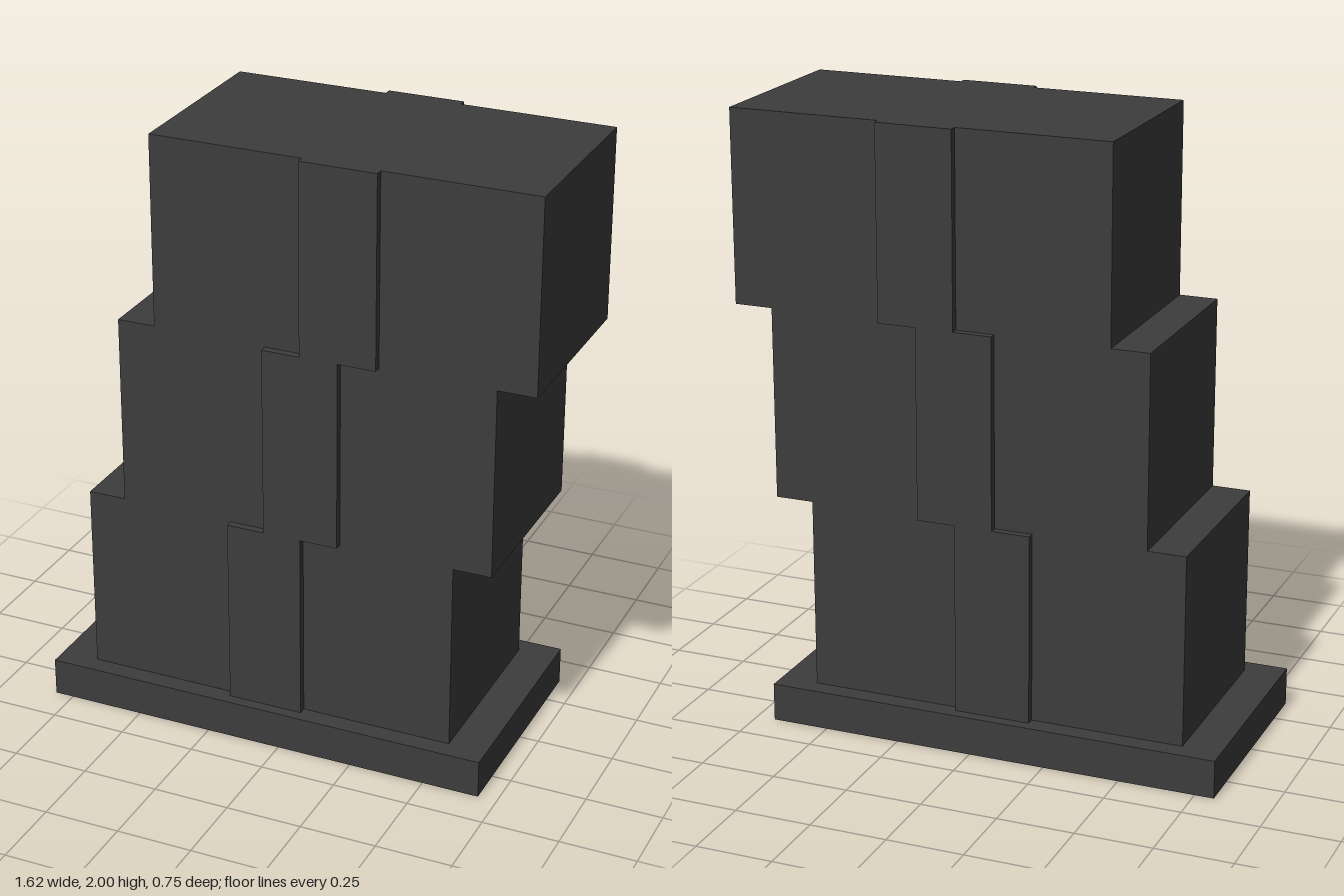
import * as THREE from 'three';

export function createModel() {
  const group = new THREE.Group();
  group.name = 'steppedTower';
  const charcoal = new THREE.MeshStandardMaterial({ color: 0x3c3c3c });
  charcoal.name = 'charcoal';

  const addBox = (name, parent, size, position) => {
    const mesh = new THREE.Mesh(new THREE.BoxGeometry(...size), charcoal);
    mesh.name = name;
    mesh.position.set(...position);
    parent.add(mesh);
  };

  // Base slab
  addBox('base', group, [1.5, 0.125, 0.75], [-0.0625, 0.0625, 0]);

  // Three stacked blocks, each shifted sideways, with a raised band front and back
  const height = 0.625, step = 0.125, depth = 0.625, band = 0.025;
  for (let i = 0; i < 3; i++) {
    const tier = new THREE.Group();
    tier.name = `tier${i + 1}`;
    tier.position.set(-0.0625 + i * step, 0.125 + (i + 0.5) * height, 0);
    addBox('block', tier, [1.25, height, depth], [0, 0, 0]);
    for (const side of [1, -1]) {
      addBox(side > 0 ? 'frontBand' : 'backBand', tier,
        [0.25, height, band], [0, 0, side * (depth + band) / 2]);
    }
    group.add(tier);
  }
  return group;
}
